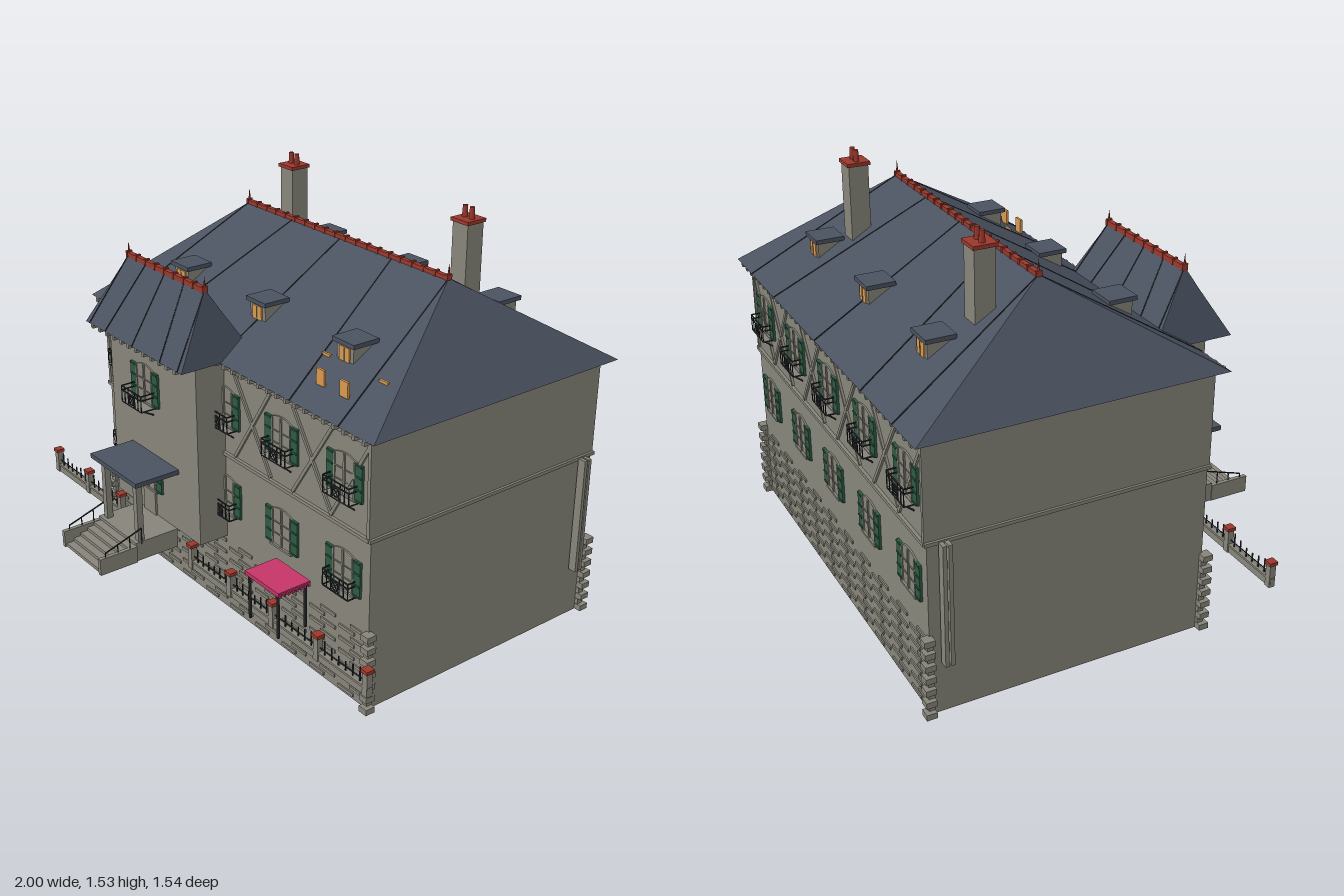
import * as THREE from 'three';

const mat = (name, color) => Object.assign(new THREE.MeshStandardMaterial({ color }), { name });
const stone = mat('stone', 0x87857a);
const slate = mat('slate', 0x4a5260);
const tile = mat('redTile', 0x9a382c);
const green = mat('shutterGreen', 0x2d5a43);
const iron = mat('darkIron', 0x2b2d30);
const amber = mat('amberGlass', 0xd9994f);
const pink = mat('awningPink', 0xc43567);

// Box given by its limits on each axis
function box(parent, name, m, x0, x1, y0, y1, z0, z1) {
  const mesh = new THREE.Mesh(new THREE.BoxGeometry(x1 - x0, y1 - y0, z1 - z0), m);
  mesh.position.set((x0 + x1) / 2, (y0 + y1) / 2, (z0 + z1) / 2);
  mesh.name = name;
  parent.add(mesh);
  return mesh;
}

// Square bar running from point a to point b
function bar(parent, name, m, a, b, w = 0.005, d = w) {
  const from = new THREE.Vector3(...a), to = new THREE.Vector3(...b);
  const mesh = new THREE.Mesh(new THREE.BoxGeometry(w, d, from.distanceTo(to)), m);
  mesh.position.copy(from).add(to).multiplyScalar(0.5);
  mesh.lookAt(mesh.position.clone().add(to.sub(from)));
  mesh.name = name;
  parent.add(mesh);
  return mesh;
}

function group(parent, name, x = 0, y = 0, z = 0) {
  const g = new THREE.Group();
  g.name = name;
  g.position.set(x, y, z);
  parent.add(g);
  return g;
}

// Hip roof with seams, ridge tiles and finials
function hipRoof(parent, name, x0, x1, z0, z1, y, rx0, rx1, ry, fin) {
  const g = group(parent, name);
  const zr = (z0 + z1) / 2;
  const A = [x0, y, z1], B = [x1, y, z1], C = [x1, y, z0], D = [x0, y, z0];
  const E = [rx0, ry, zr], F = [rx1, ry, zr];
  const tris = [A, B, F, A, F, E, B, C, F, C, D, E, C, E, F, D, A, E, A, D, C, A, C, B];
  const geo = new THREE.BufferGeometry();
  geo.setAttribute('position', new THREE.Float32BufferAttribute(tris.flat(), 3));
  geo.computeVertexNormals();
  const roof = new THREE.Mesh(geo, slate);
  roof.name = 'roofSlopes';
  g.add(roof);
  for (let i = 0; i < 5; i++) {
    const top = rx0 + (rx1 - rx0) * i / 4;
    const low = (x0 + x1) / 2 + (top - (rx0 + rx1) / 2) * (i % 4 ? 1.5 : 1.2);
    for (const z of [z0, z1]) bar(g, 'roofSeam', iron, [low, y + 0.001, z], [top, ry, zr], 0.004, 0.004);
  }
  bar(g, 'ridge', tile, [rx0, ry, zr], [rx1, ry, zr], 0.018);
  const n = Math.round((rx1 - rx0) / 0.06);
  for (let i = 0; i <= n; i++) {
    const x = rx0 + (rx1 - rx0) * i / n;
    box(g, 'ridgeCap', tile, x - 0.005, x + 0.005, ry - 0.01, ry + 0.014, zr - 0.011, zr + 0.011);
  }
  for (const x of [rx0, rx1]) {
    const spike = new THREE.Mesh(new THREE.ConeGeometry(0.006, fin, 8), tile);
    spike.position.set(x, ry + fin / 2, zr);
    spike.name = 'finial';
    g.add(spike);
  }
}

// Iron balcony; origin at the middle of the foot on the wall
function balcony(parent, y, depth, brackets) {
  const g = group(parent, 'balcony', 0, y, 0), w = 0.066, h = 0.062;
  for (const t of [0, 0.045, h]) {
    bar(g, 'rail', iron, [-w, t, depth], [w, t, depth], 0.004);
    for (const x of [-w, w]) bar(g, 'sideRail', iron, [x, t, 0], [x, t, depth], 0.004);
  }
  for (let i = 0; i <= 6; i++) {
    const x = -w + 2 * w * i / 6;
    if (i !== 3) bar(g, 'baluster', iron, [x, 0, depth], [x, h, depth], 0.003);
  }
  const ring = new THREE.Mesh(new THREE.TorusGeometry(0.016, 0.0025, 5, 14), iron);
  ring.position.set(0, 0.023, depth);
  ring.name = 'ringOrnament';
  g.add(ring);
  for (const s of [-1, 1]) {
    bar(g, 'cross', iron, [-0.02 * s, 0.002, depth], [0.02 * s, 0.045, depth], 0.003);
    if (brackets) bar(g, 'bracket', iron, [s * 0.045, 0, depth], [s * 0.045, -0.035, 0], 0.005);
  }
  if (brackets) box(g, 'balconyFloor', stone, -w, w, -0.004, 0.002, 0, depth);
}

// Shuttered window; origin at the middle of the sill on the wall
function windowUnit(parent, x, y, balconyDepth, brackets) {
  const g = group(parent, 'window', x, y, 0), h = 0.135;
  const shape = new THREE.Shape();
  shape.moveTo(-0.055, 0);
  shape.lineTo(0.055, 0);
  shape.lineTo(0.055, h);
  shape.quadraticCurveTo(0, h + 0.026, -0.055, h);
  const frame = new THREE.Mesh(new THREE.ExtrudeGeometry(shape, { depth: 0.006, bevelEnabled: false }), stone);
  frame.name = 'windowPanel';
  g.add(frame);
  for (const s of [-1, 1]) {
    box(g, 'shutter', green, s * 0.072 - 0.018, s * 0.072 + 0.018, 0, h, 0, 0.009);
    for (const t of [0.004, 0.045, 0.09, h - 0.004])
      box(g, 'shutterRail', green, s * 0.072 - 0.016, s * 0.072 + 0.016, t - 0.003, t + 0.003, 0.009, 0.012);
    box(g, 'jamb', stone, s * 0.05 - 0.003, s * 0.05 + 0.003, 0, h, 0.006, 0.01);
  }
  box(g, 'mullion', stone, -0.004, 0.004, 0, h + 0.01, 0.006, 0.011);
  for (const t of [0.045, 0.09]) box(g, 'glazingBar', stone, -0.05, 0.05, t - 0.002, t + 0.002, 0.006, 0.009);
  box(g, 'sill', stone, -0.06, 0.06, -0.008, 0, 0, 0.014);
  if (balconyDepth) balcony(g, -0.005, balconyDepth, brackets);
}

// One long wall: masonry courses, timber framing and windows
function facade(parent, front) {
  const g = group(parent, front ? 'frontFacade' : 'backFacade', 0, 0, front ? 0.31 : -0.725);
  if (!front) g.rotation.y = Math.PI;
  for (let r = 0; r < 12; r++) for (let c = 0; c < 10; c++) {
    const x = -0.75 + c * 0.16 + (r % 2) * 0.06;
    if (x < 0.76) box(g, 'courseStone', stone, x - 0.04, x + 0.04, 0.012 + r * 0.0245, 0.024 + r * 0.0245, 0, 0.005);
  }
  box(g, 'beltBeam', stone, -0.8, 0.8, 0.647, 0.66, 0, 0.012);
  box(g, 'topBeam', stone, -0.8, 0.8, 0.985, 1.0, 0, 0.008);
  for (const cx of [-0.5, -0.167, 0.167, 0.5]) for (const s of [-1, 1])
    bar(g, 'crossBrace', stone, [cx - 0.105 * s, 0.665, 0.002], [cx + 0.105 * s, 0.985, 0.002], 0.012, 0.012);
  for (const s of [-1, 1]) {
    bar(g, 'endBrace', stone, [s * 0.6, 0.665, 0.002], [s * 0.79, 0.985, 0.002], 0.012, 0.012);
    box(g, 'cornerPost', stone, s * 0.793 - 0.007, s * 0.793 + 0.007, 0.66, 1.0, 0, 0.008);
  }
  for (let i = -2; i <= 2; i++) {
    if (front && i === -1) continue;
    windowUnit(g, i * 0.335, 0.77, 0.042, true);
    windowUnit(g, i * 0.335, 0.418, front && i !== 1 ? 0.04 : 0, false);
  }
  for (let x = -0.8; x <= 0.801; x += 0.05) box(g, 'rafterEnd', stone, x - 0.007, x + 0.007, 1.004, 1.02, 0, 0.042);
}

export function createModel() {
  const model = new THREE.Group();
  model.name = 'house';

  // Main block, side trim, quoins and downpipes
  box(model, 'mainWalls', stone, -0.8, 0.8, 0, 1.02, -0.725, 0.31);
  facade(model, true);
  facade(model, false);
  for (const s of [-1, 1]) {
    box(model, 'sideBelt', stone, s * 0.803 - 0.006, s * 0.803 + 0.006, 0.647, 0.66, -0.735, 0.32);
    box(model, 'sideCornice', stone, s * 0.803 - 0.004, s * 0.803 + 0.004, 1.003, 1.02, -0.725, 0.31);
    for (const z of [0.31, -0.725]) {
      const out = z > 0 ? 1 : -1;
      for (let i = 0; i < 13; i++) {
        const w = i % 2 ? 0.013 : 0.028, y = 0.001 + i * 0.0238;
        const x = s * (0.79 + (w + 0.01) / 2), zz = z + out * (w / 2 - 0.005), hw = (w + 0.01) / 2;
        box(model, 'quoin', stone, x - hw, x + hw, y, y + 0.0225, zz - hw, zz + hw);
      }
    }
    for (const z of [-0.66, -0.68])
      bar(model, 'downpipe', stone, [s * 0.823, 0.2, z], [s * 0.823, 0.655, z], 0.032, 0.014);
  }
  hipRoof(model, 'mainRoof', -0.845, 0.845, -0.77, 0.348, 1.02, -0.56, 0.56, 1.36, 0.055);

  // Entrance wing
  const wing = group(model, 'entranceWing');
  box(wing, 'wingWalls', stone, -0.575, -0.005, 0.31, 1.02, 0.2, 0.43);
  hipRoof(wing, 'wingRoof', -0.61, 0.03, 0.2, 0.51, 1.02, -0.535, -0.045, 1.27, 0.05);
  for (let x = -0.57; x < 0.0; x += 0.05) box(wing, 'rafterEnd', stone, x - 0.007, x + 0.007, 1.004, 1.02, 0.43, 0.508);
  const wingFront = group(wing, 'wingFacade', 0, 0, 0.43);
  windowUnit(wingFront, -0.335, 0.77, 0.065, true);
  windowUnit(wingFront, -0.335, 0.418, 0, false);
  box(wingFront, 'door', stone, -0.375, -0.295, 0.31, 0.545, 0, 0.008);

  // Porch and steps
  const porch = group(model, 'porch');
  box(porch, 'porchRoof', slate, -0.45, -0.135, 0.548, 0.566, 0.43, 0.615);
  box(porch, 'porchFascia', stone, -0.435, -0.15, 0.54, 0.548, 0.43, 0.6);
  box(porch, 'landing', stone, -0.425, -0.16, 0.235, 0.31, 0.43, 0.61);
  for (let i = 0; i < 5; i++)
    box(porch, 'step', stone, -0.415, -0.17, 0.235, 0.298 - i * 0.0125, 0.61 + i * 0.03, 0.64 + i * 0.03);
  for (const x of [-0.42, -0.16]) {
    box(porch, 'stairCheek', stone, x - 0.008, x + 0.008, 0.235, 0.3, 0.61, 0.767);
    const px = x < -0.3 ? -0.398 : -0.178;
    box(porch, 'porchColumn', stone, px - 0.012, px + 0.012, 0.31, 0.545, 0.57, 0.595);
    bar(porch, 'handrail', iron, [x, 0.365, 0.585], [x, 0.315, 0.74], 0.004);
    for (const t of [0, 0.33, 0.66, 1])
      bar(porch, 'railPost', iron, [x, 0.3, 0.585 + t * 0.155], [x, 0.365 - t * 0.05, 0.585 + t * 0.155], 0.003);
  }

  // Chimneys
  for (const [x, z] of [[-0.513, -0.392], [0.412, -0.435]]) {
    const c = group(model, 'chimney', x, 0, z);
    box(c, 'stack', stone, -0.037, 0.037, 1.1, 1.478, -0.037, 0.037);
    box(c, 'cap', tile, -0.043, 0.043, 1.478, 1.491, -0.043, 0.043);
    for (const s of [-0.017, 0.017]) {
      const pot = new THREE.Mesh(new THREE.CylinderGeometry(0.009, 0.011, 0.045, 10), tile);
      pot.position.set(s, 1.51, 0);
      pot.name = 'chimneyPot';
      c.add(pot);
    }
  }

  // Dormers on both slopes
  for (const side of [1, -1]) for (const x of [-0.483, -0.003, 0.478]) {
    const d = group(model, 'dormer', x, 0, -0.211);
    if (side < 0) d.rotation.y = Math.PI;
    box(d, 'dormerBody', stone, -0.043, 0.043, 1.08, 1.192, 0.28, 0.372);
    box(d, 'dormerRoof', slate, -0.056, 0.056, 1.19, 1.206, 0.275, 0.383);
    box(d, 'dormerWindow', amber, -0.026, 0.026, 1.132, 1.182, 0.372, 0.377);
    box(d, 'dormerBar', stone, -0.002, 0.002, 1.132, 1.182, 0.377, 0.379);
  }
  // Small amber skylight panels on the front slope
  for (const x of [0.48, 0.6]) box(model, 'skylightPanel', amber, x - 0.02, x + 0.02, 1.073, 1.13, 0.258, 0.267);
  for (const x of [0.395, 0.685]) box(model, 'skylightStrip', amber, x - 0.02, x + 0.02, 1.12, 1.135, 0.166, 0.175);

  // Garden wall with railing, level with the entrance terrace
  const fence = group(model, 'gardenWall', 0, 0, 0.47);
  for (const [a, b] of [[-0.995, -0.48], [-0.015, 0.995]]) {
    box(fence, 'lowWall', stone, a, b, 0.235, 0.266, -0.007, 0.007);
    box(fence, 'coping', stone, a, b, 0.262, 0.27, -0.01, 0.01);
  }
  const posts = [-0.982, -0.737, -0.492, 0, 0.243, 0.488, 0.733, 0.982];
  posts.forEach((x, i) => {
    box(fence, 'pier', stone, x - 0.012, x + 0.012, 0.235, 0.325, -0.012, 0.012);
    box(fence, 'pierCap', tile, x - 0.016, x + 0.016, 0.322, 0.335, -0.016, 0.016);
    if (i === 2 || i === 7) return;
    const next = posts[i + 1];
    for (let k = 1; k < 7; k++) {
      const px = x + (next - x) * k / 7, sag = 0.3 + 0.024 * Math.abs(k - 3.5) / 2.5;
      bar(fence, 'picket', iron, [px, 0.268, 0], [px, sag, 0], 0.004);
    }
    bar(fence, 'fenceRail', iron, [x, 0.285, 0], [next, 0.285, 0], 0.003);
  });

  // Pink awning with a scalloped edge on four legs
  const awning = group(model, 'awning');
  box(awning, 'awningTop', pink, 0.383, 0.572, 0.405, 0.42, 0.375, 0.51);
  for (let i = 0; i < 8; i++) {
    const z = 0.38 + i * 0.017;
    box(awning, 'awningScallop', pink, 0.377, 0.578, 0.403, 0.415, z, z + 0.008);
  }
  for (const x of [0.398, 0.557]) for (const z of [0.385, 0.5])
    bar(awning, 'awningLeg', iron, [x, 0.235, z], [x, 0.405, z], 0.008);
  return model;
}
